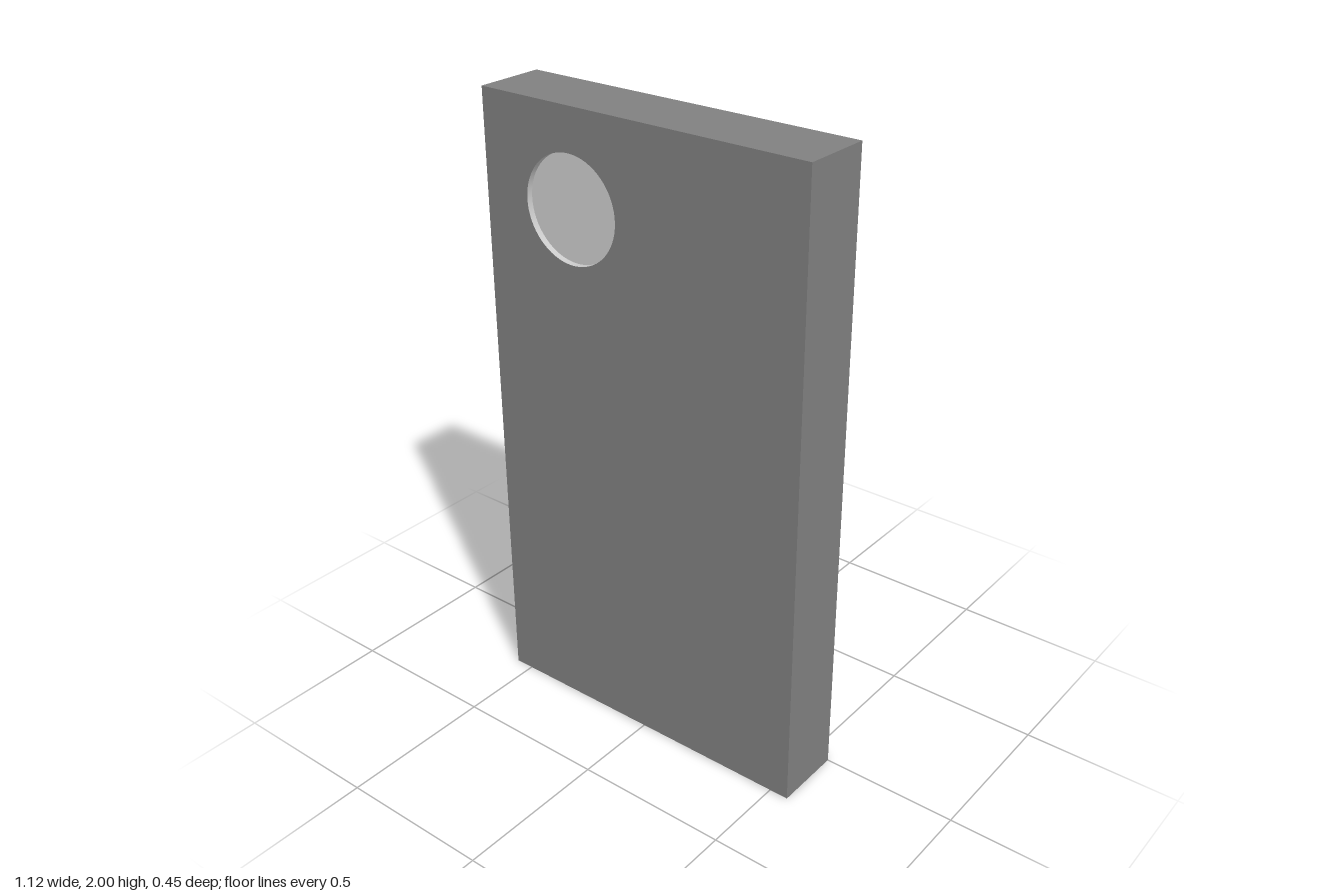
import * as THREE from 'three';
import { mergeGeometries } from 'three/addons/utils/BufferGeometryUtils.js';

const W = 1.125, H = 2, D = 0.225;            // slab size
const HOLE = { x: -0.24, y: 1.7, r: 0.165, depth: 0.02 };
const BALL_R = 0.1125;

function mesh(name, geometry, material) {
  const m = new THREE.Mesh(geometry, material);
  m.name = name;
  return m;
}

// Box with its front face replaced by one that has a round opening
function slabGeometry() {
  const box = new THREE.BoxGeometry(W, H, D).translate(0, H / 2, D / 2);
  const index = Array.from(box.index.array);
  index.splice(24, 6); // drop the +z face
  box.setIndex(index);
  box.clearGroups();

  const shape = new THREE.Shape()
    .moveTo(-W / 2, 0).lineTo(W / 2, 0).lineTo(W / 2, H).lineTo(-W / 2, H).closePath();
  shape.holes.push(new THREE.Path().absarc(HOLE.x, HOLE.y, HOLE.r, 0, Math.PI * 2, true));
  const front = new THREE.ShapeGeometry(shape, 32).translate(0, 0, D);
  return mergeGeometries([box, front]);
}

export function createModel() {
  const group = new THREE.Group();
  group.name = 'studdedSlab';
  const dark = new THREE.MeshStandardMaterial({ color: 0x808080 });
  const light = new THREE.MeshStandardMaterial({ color: 0xcccccc });
  const lightWall = new THREE.MeshStandardMaterial({ color: 0xcccccc, side: THREE.DoubleSide });

  group.add(mesh('slab', slabGeometry(), dark));

  // Shallow round recess in the front face
  const recess = new THREE.Group();
  recess.name = 'recess';
  recess.position.set(HOLE.x, HOLE.y, D - HOLE.depth);
  recess.add(mesh('recessFloor', new THREE.CircleGeometry(HOLE.r, 64), light));
  const wall = new THREE.CylinderGeometry(HOLE.r, HOLE.r, HOLE.depth, 64, 1, true)
    .rotateX(Math.PI / 2).translate(0, 0, HOLE.depth / 2);
  recess.add(mesh('recessWall', wall, lightWall));
  group.add(recess);

  // Two columns of four balls touching the back face
  const ballGeometry = new THREE.SphereGeometry(BALL_R, 48, 32);
  const balls = new THREE.Group();
  balls.name = 'balls';
  for (let row = 0; row < 4; row++) {
    for (const side of [-1, 1]) {
      const ball = mesh('ball', ballGeometry, light);
      ball.position.set(side * 0.2225, 0.333 + row * 0.4455, -BALL_R);
      balls.add(ball);
    }
  }
  group.add(balls);
  return group;
}
